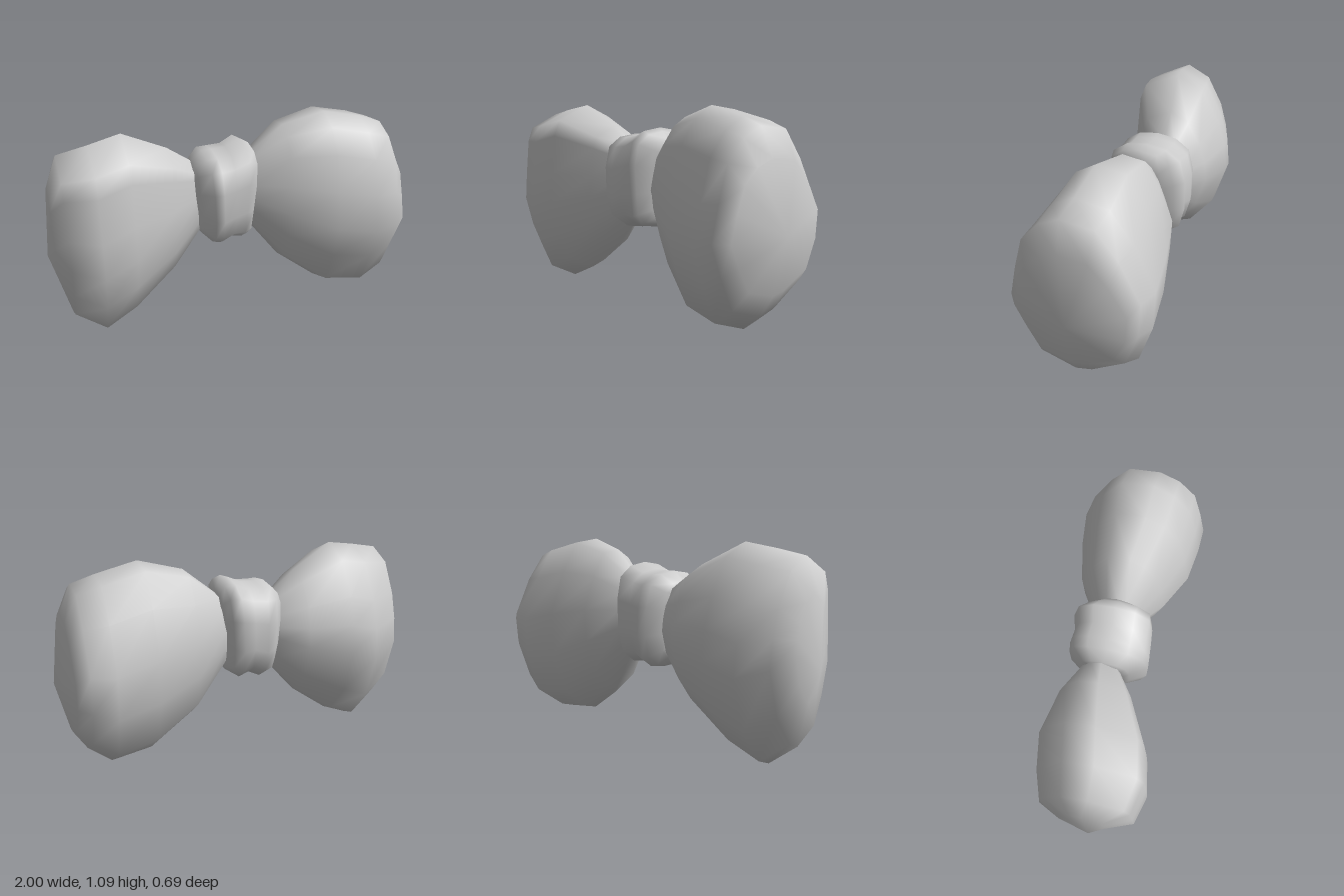
import * as THREE from 'three';

// Unit cross-sections as [y, z], running from the top over the front to the back
const LEFT_SECTION = [
  [1, 0.12], [0.88, 0.45], [0.64, 0.73], [0.25, 0.88], [-0.14, 1], [-0.5, 0.82], [-0.87, 0.6],
  [-1, 0.04], [-0.95, -0.22], [-0.7, -0.75], [-0.26, -0.96], [0.18, -1], [0.64, -0.7], [0.96, -0.38],
];
const RIGHT_SECTION = [
  [1, 0.1], [0.82, 0.77], [0.64, 0.89], [0.2, 0.96], [-0.15, 1], [-0.52, 0.82], [-0.84, 0.57],
  [-1, 0], [-0.94, -0.28], [-0.6, -0.74], [-0.1, -1], [0.2, -0.94], [0.5, -0.78], [0.86, -0.42],
];
const KNOT_SECTION = [
  [1, 0], [0.94, 0.5], [0.74, 0.86], [0.3, 1], [-0.3, 1], [-0.74, 0.86], [-0.94, 0.5],
  [-1, 0], [-0.94, -0.5], [-0.74, -0.86], [-0.3, -1], [0.3, -1], [0.74, -0.86], [0.94, -0.5],
];

// Closed loft along +x. Each station is [x, top, bottom, back, front];
// start and end are the cap points, and reshape may move each ring point.
function loft(section, start, stations, end, reshape = (p) => p) {
  const pos = [], index = [], n = section.length;
  for (const [x, top, bottom, back, front] of stations) {
    const cy = (top + bottom) / 2, ry = (top - bottom) / 2;
    const cz = (front + back) / 2, rz = (front - back) / 2;
    for (const [uy, uz] of section) {
      pos.push(...reshape([x, cy + ry * uy, cz + rz * uz], uy, uz));
    }
  }
  const rows = stations.length, a0 = rows * n, a1 = a0 + 1, last = (rows - 1) * n;
  pos.push(...start, ...end);
  for (let j = 0; j < n; j++) {
    const k = (j + 1) % n;
    for (let i = 0; i < rows - 1; i++) {
      const p = i * n, q = p + n;
      index.push(p + j, p + k, q + j, p + k, q + k, q + j);
    }
    index.push(a0, k, j, a1, last + j, last + k);
  }
  const g = new THREE.BufferGeometry();
  g.setAttribute('position', new THREE.Float32BufferAttribute(pos, 3));
  g.setIndex(index);
  g.computeVertexNormals();
  return g;
}

export function createModel() {
  const group = new THREE.Group();
  const cloth = new THREE.MeshStandardMaterial({ color: 0xcccccc });
  cloth.name = 'grey cloth';
  const add = (name, geometry) => {
    const mesh = new THREE.Mesh(geometry, cloth);
    mesh.name = name;
    group.add(mesh);
  };

  // Puffed loop on the model's left
  add('leftLoop', loft(LEFT_SECTION, [0.05, 0.66, -0.03], [
    [0.08, 0.82, 0.50, -0.11, 0.06],
    [0.13, 0.89, 0.45, -0.16, 0.09],
    [0.30, 1.03, 0.23, -0.26, 0.21],
    [0.53, 1.09, 0.055, -0.315, 0.31],
    [0.75, 1.04, 0.025, -0.345, 0.34],
    [0.87, 1.00, 0.12, -0.32, 0.345],
    [0.935, 0.86, 0.23, -0.28, 0.29],
  ], [1.0, 0.51, 0]));

  // Puffed loop on the model's right
  add('rightLoop', loft(RIGHT_SECTION, [-1.0, 0.50, 0.07], [
    [-0.965, 0.86, 0.35, -0.09, 0.15],
    [-0.905, 1.03, 0.12, -0.21, 0.29],
    [-0.75, 1.06, 0.00, -0.27, 0.33],
    [-0.58, 1.09, 0.08, -0.295, 0.295],
    [-0.34, 0.97, 0.26, -0.24, 0.17],
    [-0.20, 0.87, 0.42, -0.16, 0.07],
    [-0.15, 0.80, 0.50, -0.11, 0.05],
  ], [-0.10, 0.66, -0.03]));

  // Pinched knot, narrower at the bottom, with a shallow fold down its front
  const pinch = ([x, y, z], uy, uz) => {
    const fold = 0.03 * Math.exp(-(((x - 0.07) / 0.06) ** 2) - ((y - 0.62) / 0.15) ** 2);
    return [-0.04 + (x + 0.04) * (1 + 0.12 * uy), y, uz > 0.6 ? z - fold : z];
  };
  add('knot', loft(KNOT_SECTION, [-0.19, 0.66, -0.02], [
    [-0.205, 0.83, 0.50, -0.11, 0.07],
    [-0.19, 0.88, 0.46, -0.15, 0.11],
    [-0.14, 0.93, 0.42, -0.22, 0.195],
    [-0.09, 0.93, 0.405, -0.23, 0.195],
    [-0.02, 0.935, 0.435, -0.22, 0.19],
    [0.05, 0.97, 0.42, -0.24, 0.19],
    [0.09, 0.95, 0.44, -0.19, 0.18],
    [0.115, 0.91, 0.47, -0.14, 0.09],
    [0.13, 0.84, 0.54, -0.09, 0.05],
  ], [0.11, 0.68, -0.02], pinch));

  return group;
}
